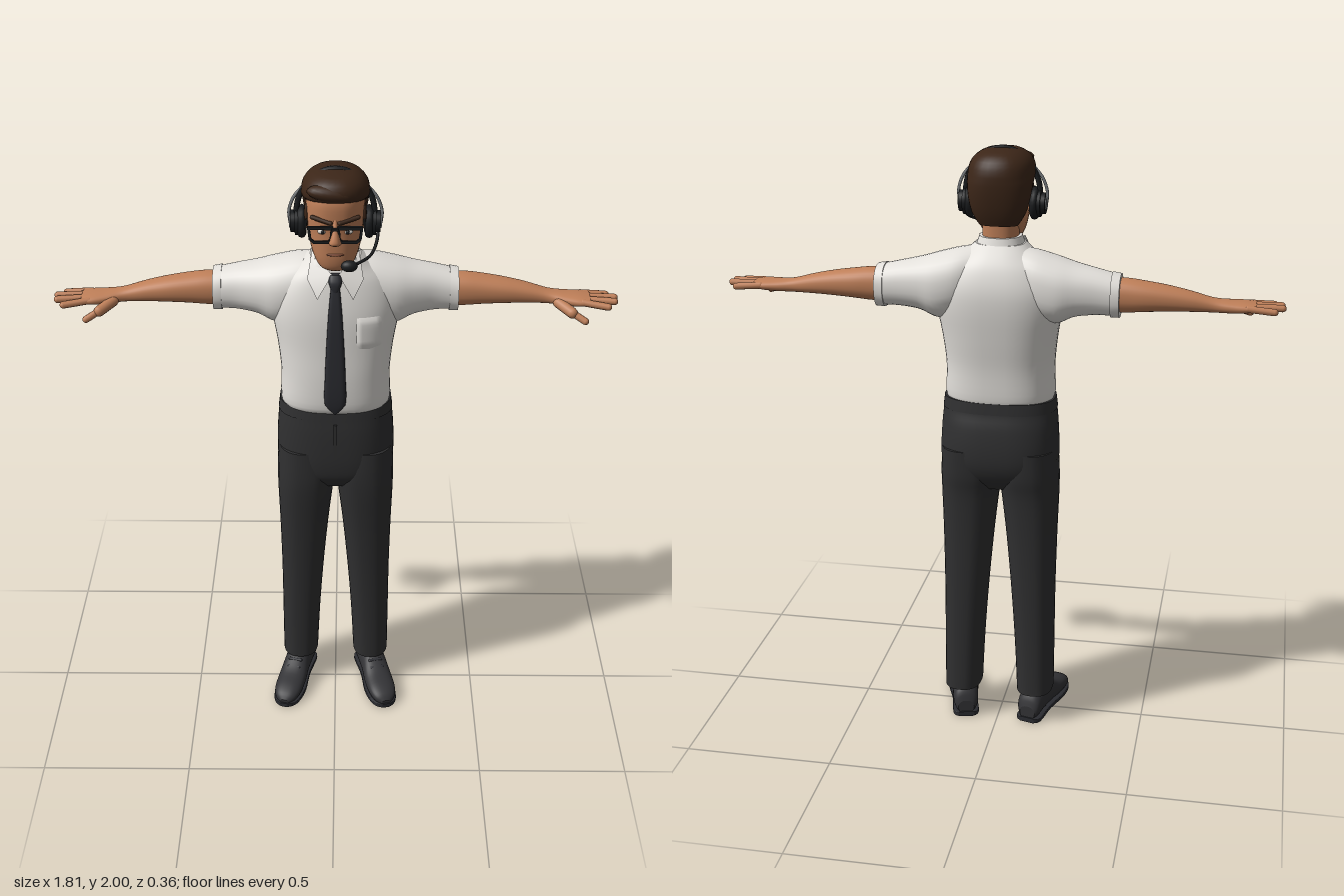
import * as THREE from 'three';
import { mergeGeometries, mergeVertices } from 'three/addons/utils/BufferGeometryUtils.js';

const mat = (name, color, side = THREE.FrontSide) => Object.assign(new THREE.MeshStandardMaterial({ color, side }), { name });
const V = (x, y, z) => new THREE.Vector3(x, y, z);

// Catmull-Rom blend of the rows at fractional index t
function sample(rows, t) {
  const i = Math.min(Math.floor(t), rows.length - 2), f = t - i;
  const at = k => rows[Math.max(0, Math.min(rows.length - 1, k))];
  return rows[i].map((p1, k) => {
    const p0 = at(i - 1)[k], p2 = at(i + 1)[k], p3 = at(i + 2)[k];
    return p1 + 0.5 * f * (p2 - p0 + f * (2 * p0 - 5 * p1 + 4 * p2 - p3 + f * (3 * (p1 - p2) + p3 - p0)));
  });
}

// Skin of superellipse rings along an axis (0 x, 1 y, 2 z).
// Row: [position, u min, u max, v min, v max], v = next axis, u = the one after.
function loft(axis, rows, { p = 2.3, n = 32, sub = 4 } = {}) {
  const pos = [], idx = [], steps = (rows.length - 1) * sub, rings = [];
  const put = (w, u, v) => { const q = []; q[axis] = w; q[(axis + 1) % 3] = v; q[(axis + 2) % 3] = u; pos.push(...q); };
  const pw = c => Math.sign(c) * Math.abs(c) ** (2 / p);
  const ring = r => {
    for (let j = 0; j < n; j++) {
      const a = j / n * Math.PI * 2;
      put(r[0], (r[1] + r[2]) / 2 + (r[2] - r[1]) / 2 * pw(Math.cos(a)), (r[3] + r[4]) / 2 + (r[4] - r[3]) / 2 * pw(Math.sin(a)));
    }
  };
  for (let i = 0; i <= steps; i++) { rings.push(sample(rows, i / sub)); ring(rings[i]); }
  for (let i = 0; i < steps; i++) for (let j = 0; j < n; j++) {
    const a = i * n + j, b = i * n + (j + 1) % n;
    idx.push(a, a + n, b, b, a + n, b + n);
  }
  [rings[0], rings[steps]].forEach((r, end) => {
    const s = pos.length / 3;
    ring(r);
    put(r[0], (r[1] + r[2]) / 2, (r[3] + r[4]) / 2);
    for (let j = 0; j < n; j++) { const k = s + (j + 1) % n; end ? idx.push(s + n, k, s + j) : idx.push(s + n, s + j, k); }
  });
  return surface(pos, idx);
}

function surface(pos, idx) {
  const g = new THREE.BufferGeometry();
  g.setAttribute('position', new THREE.Float32BufferAttribute(pos, 3));
  g.setIndex(idx);
  g.computeVertexNormals();
  return g;
}

// Mirror across x, keeping faces outward
function mirror(geo) {
  const g = geo.index ? geo.clone() : mergeVertices(geo.clone());
  g.scale(-1, 1, 1);
  const a = g.index.array;
  for (let i = 0; i < a.length; i += 3) [a[i], a[i + 1]] = [a[i + 1], a[i]];
  return g;
}

// Round-ended rod between two points
function rod(a, b, r, flat = 1) {
  const d = b.clone().sub(a);
  return new THREE.CapsuleGeometry(r, d.length(), 4, 10).scale(1, 1, flat)
    .applyQuaternion(new THREE.Quaternion().setFromUnitVectors(V(0, 1, 0), d.normalize()))
    .translate((a.x + b.x) / 2, (a.y + b.y) / 2, (a.z + b.z) / 2);
}
const tube = (pts, r) => new THREE.TubeGeometry(new THREE.CatmullRomCurve3(pts.map(q => V(...q))), 24, r, 8);
const ball = (x, y, z, rx, ry, rz) => new THREE.SphereGeometry(1, 20, 14).scale(rx, ry, rz).translate(x, y, z);
const box = (w, h, d, x, y, z) => new THREE.BoxGeometry(w, h, d).translate(x, y, z);
// Rows symmetric in x: [y, half width, z back, z front]
const sym = rows => rows.map(([y, w, z0, z1]) => [y, -w, w, z0, z1]);

const TORSO = sym([[1.175, .168, -.143, .082], [1.2, .18, -.152, .098], [1.3, .178, -.156, .1], [1.4, .188, -.168, .095],
  [1.5, .204, -.178, .09], [1.57, .198, -.176, .08], [1.63, .165, -.158, .066], [1.67, .115, -.132, .052], [1.7, .08, -.1, .04]]);

// Front surface of the shirt at x, y
function chestZ(x, y) {
  let i = 0;
  while (i < TORSO.length - 2 && TORSO[i + 1][0] < y) i++;
  const f = (y - TORSO[i][0]) / (TORSO[i + 1][0] - TORSO[i][0]);
  const [, , w, z0, z1] = TORSO[i].map((v, k) => v + f * (TORSO[i + 1][k] - v));
  return (z0 + z1) / 2 + (z1 - z0) / 2 * Math.max(0, 1 - (Math.abs(x) / w) ** 2.5) ** 0.4;
}

export function createModel() {
  const model = new THREE.Group();
  model.name = 'officeWorker';
  const shirt = mat('shirtWhite', 0xe4e1dc, THREE.DoubleSide), cloth = mat('trouserCharcoal', 0x303031), tieM = mat('tieDark', 0x2b2c31),
    leather = mat('shoeLeather', 0x333336), skin = mat('skin', 0xc08059), hair = mat('hairBrown', 0x3c2618),
    plastic = mat('blackPlastic', 0x1b1d1f), metal = mat('greyMetal', 0x7d8184), lip = mat('lipBrown', 0x8a533c), white = mat('eyeWhite', 0xd8d2ca);
  const add = (name, geo, m) => { const o = new THREE.Mesh(geo, m); o.name = name; model.add(o); };
  const pair = (name, geo, m) => { add('left' + name, geo, m); add('right' + name, mirror(geo), m); };

  // Shirt body, sleeves and cuffs
  add('shirtBody', loft(1, TORSO, { p: 2.5, n: 48 }), shirt);
  pair('Sleeve', loft(0, [[.06, -.13, .03, 1.53, 1.69], [.12, -.158, .04, 1.475, 1.684], [.19, -.166, .036, 1.455, 1.667],
    [.25, -.158, .016, 1.48, 1.65], [.32, -.149, -.006, 1.49, 1.635], [.385, -.144, -.014, 1.49, 1.62]]), shirt);
  pair('Cuff', loft(0, [[.365, -.15, -.01, 1.485, 1.628], [.393, -.148, -.01, 1.485, 1.623]], { sub: 1 }), shirt);

  // Collar stand and folded flaps
  add('collar', loft(1, sym([[1.65, .088, -.118, .05], [1.69, .079, -.104, .046], [1.722, .068, -.094, .038]])), shirt);
  const c = [[.01, 1.668], [.088, 1.65], [.056, 1.592]].map(([x, y]) => [x, y, chestZ(x, y) + .016]);
  pair('CollarFlap', surface([...c[0], .074, 1.718, -.005, ...c[1], ...c[2]], [0, 2, 1, 0, 3, 2]), shirt);

  // Chest pocket, its rim tucked into the shirt
  const pp = [], pi = [], N = 8;
  for (let i = 0; i <= N; i++) for (let j = 0; j <= N; j++) {
    const x = .065 + .085 * j / N, y = 1.42 + .11 * i / N - (i ? 0 : .01 * (1 - Math.abs(j / 4 - 1)));
    pp.push(x, y, chestZ(x, y) + (i % N && j % N ? .007 : -.002));
    if (i < N && j < N) { const a = i * (N + 1) + j; pi.push(a, a + 1, a + N + 1, a + 1, a + N + 2, a + N + 1); }
  }
  add('chestPocket', surface(pp, pi), shirt);

  // Tie blade and knot
  const blade = [[1.188, .003], [1.225, .034], [1.3, .034], [1.42, .029], [1.54, .022], [1.625, .014]];
  add('tieBlade', loft(1, sym(blade.map(([y, w]) => [y, w, chestZ(0, y) - .02, chestZ(0, y) + .018])), { p: 4, sub: 2 }), tieM);
  add('tieKnot', loft(1, sym([[1.615, .012, .03, .088], [1.645, .022, .03, .088], [1.668, .02, .02, .072]]), { p: 3 }), tieM);

  // Trousers: seat, waistband, legs
  add('trouserSeat', loft(1, sym([[.88, .1, -.12, .06], [.92, .18, -.152, .085], [.97, .195, -.17, .093], [1.03, .196, -.173, .094],
    [1.1, .192, -.165, .091], [1.15, .187, -.152, .086], [1.19, .182, -.148, .083]]), { p: 2.6, n: 48 }), cloth);
  add('waistband', loft(1, sym([[1.152, .189, -.155, .09], [1.19, .184, -.151, .086]]), { p: 2.6, n: 48, sub: 1 }), cloth);
  add('flySeam', box(.012, .13, .006, 0, 1.075, .094), cloth);
  pair('TrouserLeg', loft(1, [[.115, .065, .19, -.14, .036], [.3, .056, .19, -.138, .042], [.5, .042, .19, -.138, .053], [.7, .024, .193, -.14, .07],
    [.85, .007, .197, -.147, .086], [.93, -.002, .197, -.16, .09], [1.02, .01, .192, -.165, .088]], { p: 2.5 }), cloth);

  // Shoes, toes turned outward
  const place = g => g.rotateY(.25).translate(.127, 0, -.048);
  pair('Shoe', place(loft(2, [[-.073, .01, .06, -.028, .028], [-.055, .01, .1, -.042, .042], [0, .01, .125, -.045, .045], [.06, .01, .112, -.046, .046],
    [.12, .01, .078, -.05, .05], [.18, .01, .063, -.048, .048], [.215, .01, .048, -.036, .036], [.233, .012, .03, -.015, .015]])), leather);
  pair('Sole', place(loft(2, [[-.077, .0, .018, -.028, .028], [-.055, 0, .018, -.045, .045], [.04, 0, .018, -.044, .044],
    [.13, 0, .018, -.054, .054], [.19, 0, .018, -.049, .049], [.222, 0, .018, -.035, .035], [.238, .002, .018, -.014, .014]], { p: 7 })), tieM);
  const laces = [0, 1, 2].map(i => rod(V(-.02, .112 - i * .016, .058 + i * .022), V(.02, .112 - i * .016, .058 + i * .022), .006));
  pair('Laces', place(mergeGeometries(laces)), tieM);

  // Bare arms and hands
  pair('Arm', loft(0, [[.34, -.13, -.027, 1.502, 1.61], [.41, -.13, -.026, 1.502, 1.61], [.47, -.129, -.027, 1.507, 1.603], [.54, -.122, -.029, 1.511, 1.592],
    [.61, -.112, -.034, 1.513, 1.577], [.68, -.1, -.037, 1.513, 1.558], [.73, -.101, -.022, 1.512, 1.552], [.78, -.103, -.008, 1.514, 1.549],
    [.815, -.1, -.008, 1.52, 1.545]]), skin);
  const fingers = [[.87, .0, 1.527], [.893, -.03, 1.532], [.896, -.062, 1.532], [.872, -.095, 1.527]]
    .map(([x, z, y], i) => rod(V(.79, 1.533, -.02 - i * .024), V(x, y, z), .0115));
  fingers.push(rod(V(.715, 1.525, -.035), V(.755, 1.51, .008), .018), rod(V(.75, 1.512, .003), V(.796, 1.49, .028), .0115));
  pair('Fingers', mergeGeometries(fingers), skin);

  // Neck, head, nose, ears
  add('neck', loft(1, sym([[1.6, .062, -.088, .03], [1.7, .058, -.085, .03], [1.8, .062, -.088, .04]])), skin);
  add('head', loft(1, sym([[1.686, .026, .035, .078], [1.7, .05, .0, .096], [1.73, .068, -.045, .104], [1.77, .08, -.08, .106],
    [1.82, .087, -.1, .107], [1.87, .091, -.11, .111], [1.92, .089, -.11, .109], [1.96, .07, -.09, .085], [1.975, .04, -.06, .05]]), { p: 2.4 }), skin);
  add('nose', loft(1, sym([[1.784, .011, .09, .116], [1.795, .02, .09, .136], [1.81, .016, .09, .137], [1.845, .009, .09, .121], [1.87, .008, .09, .11]])), skin);
  pair('Ear', ball(.092, 1.825, -.008, .012, .034, .022), skin);
  add('mouth', ball(0, 1.752, .1045, .027, .0045, .006), lip);
  pair('Eye', ball(.039, 1.826, .097, .015, .008, .009), white);
  pair('Pupil', ball(.038, 1.826, .103, .006, .007, .005), plastic);
  pair('Eyebrow', rod(V(.014, 1.858, .11), V(.07, 1.871, .094), .007), hair);

  // Hair cap, swept fringe and sideburns
  add('hair', loft(1, sym([[1.762, .062, -.1, -.035], [1.8, .086, -.114, -.015], [1.85, .099, -.124, .01], [1.89, .104, -.128, .045], [1.91, .106, -.128, .088],
    [1.925, .106, -.127, .113], [1.95, .1, -.12, .116], [1.972, .083, -.103, .104], [1.987, .055, -.075, .078], [1.993, .02, -.03, .03]]), { sub: 2 }), hair);
  add('fringe', ball(0, 0, 0, .075, .026, .032).rotateZ(-.12).translate(-.012, 1.944, .088), hair);
  pair('Sideburn', ball(.088, 1.855, .028, .008, .04, .022), hair);

  // Glasses: rims with open lenses, bridge, temples
  const rim = new THREE.Shape([[.009, 1.806], [.02, 1.796], [.066, 1.796], [.08, 1.81], [.085, 1.851], [.007, 1.851]].map(q => new THREE.Vector2(...q)));
  rim.holes.push(new THREE.Path([[.017, 1.809], [.014, 1.841], [.076, 1.841], [.072, 1.812], [.063, 1.804], [.023, 1.804]].map(q => new THREE.Vector2(...q))));
  pair('GlassesRim', new THREE.ExtrudeGeometry(rim, { depth: .008, bevelEnabled: false }).translate(0, 0, .114), plastic);
  add('glassesBridge', box(.022, .009, .01, 0, 1.843, .122), plastic);
  pair('GlassesTemple', box(.005, .01, .12, .089, 1.842, .06), plastic);

  // Headset: band, yokes, ear cups
  add('headband', new THREE.TorusGeometry(.12, .009, 8, 40, Math.PI).scale(1, 1.16, 1.8).translate(0, 1.85, .004), plastic);
  pair('HeadsetYoke', tube([[.1, 1.935, .004], [.128, 1.9, .004], [.143, 1.855, .004], [.14, 1.815, .004]], .005), metal);
  const disc = (r, w, x) => new THREE.CylinderGeometry(r, r, w, 28).rotateZ(Math.PI / 2).translate(x, 1.82, .002);
  pair('EarCushion', new THREE.TorusGeometry(.034, .014, 10, 28).rotateY(Math.PI / 2).scale(1, 1.1, 1).translate(.104, 1.82, .002), plastic);
  pair('EarCup', mergeGeometries([disc(.043, .018, .116), disc(.034, .016, .131)]), plastic);
  pair('CupCap', disc(.021, .005, .14), metal);

  // Microphone on its boom, from the left cup
  add('microphoneBoom', tube([[.132, 1.805, .005], [.128, 1.772, .04], [.108, 1.745, .09], [.06, 1.735, .14]], .005), plastic);
  add('microphone', ball(.043, 1.734, .146, .026, .018, .018), plastic);
  return model;
}
